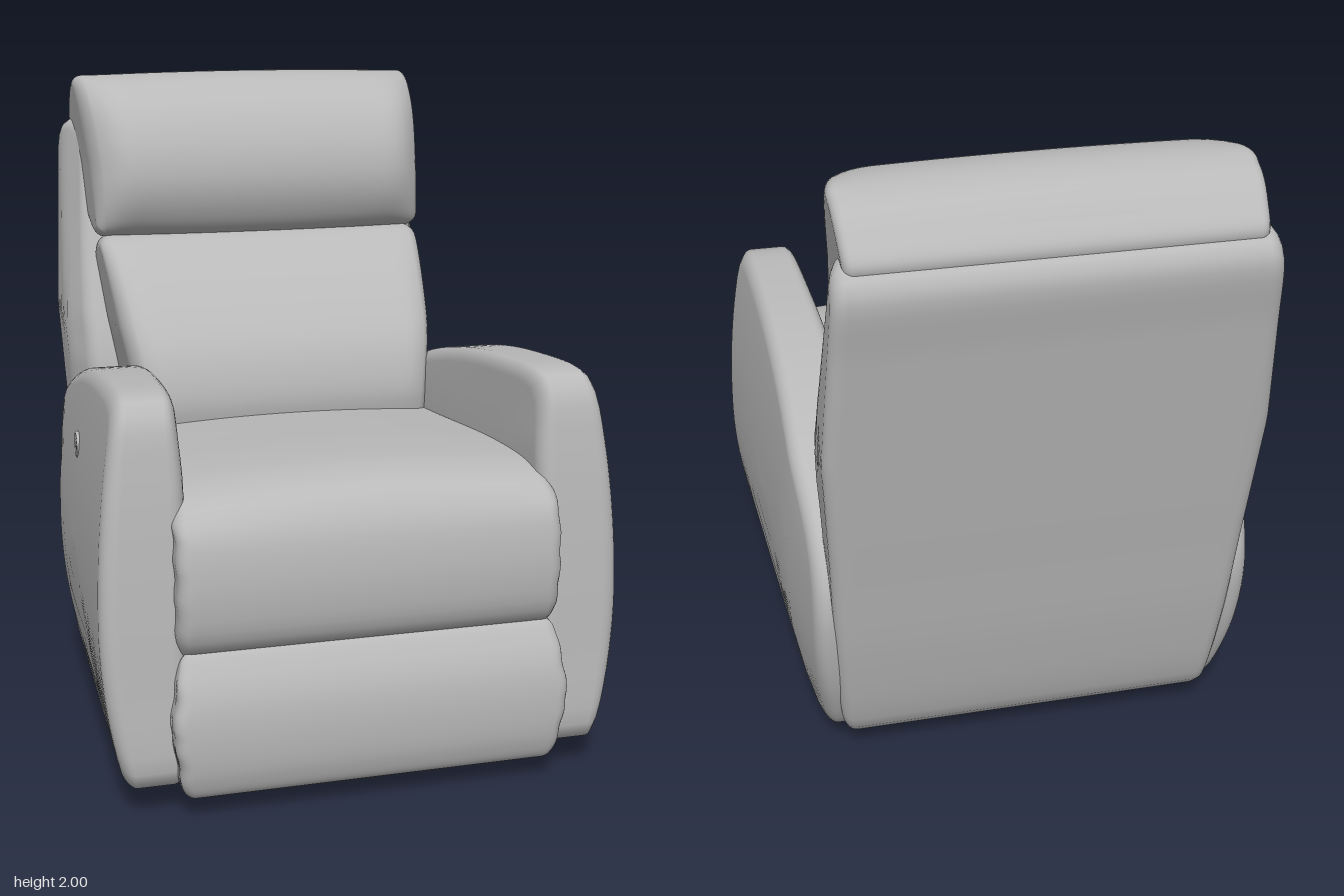
import * as THREE from 'three';

const upholstery = new THREE.MeshStandardMaterial({ color: 0xb9b9b9 });
upholstery.name = 'grey upholstery';

const lerp = THREE.MathUtils.lerp;
const clamp = THREE.MathUtils.clamp;
const smooth = THREE.MathUtils.smoothstep;

// Linear lookup in a short list of [input, output] pairs
function ramp(v, pairs) {
  if (v <= pairs[0][0]) return pairs[0][1];
  for (let i = 1; i < pairs.length; i++) {
    const [a, p] = pairs[i - 1], [b, q] = pairs[i];
    if (v <= b) return lerp(p, q, (v - a) / (b - a));
  }
  return pairs[pairs.length - 1][1];
}

// Draws the bulge in front of the plane z = seam back towards it at the ends
function taperToSeam(v, seam, from, to, left) {
  const t = clamp((Math.abs(v.x) - from) / (to - from), 0, 1);
  if (v.z > seam) v.z = seam + (v.z - seam) * lerp(left, 1, Math.sqrt(1 - t * t));
}

// Cushion body: a closed side outline of [z, y] points swept across x, with
// rounded ends. lean is the tilt (dz/dy) the end insets follow.
function cushion(name, outline, { w, r, dome = 0, lean = 0, warp }) {
  const curve = new THREE.CatmullRomCurve3(
    outline.map(([z, y]) => new THREE.Vector3(z - lean * y, y, 0)), true, 'centripetal');
  const pts = curve.getSpacedPoints(96).slice(0, 96);
  const box = new THREE.Box3().setFromPoints(pts);
  const c = box.getCenter(new THREE.Vector3());
  const half = box.getSize(new THREE.Vector3()).multiplyScalar(0.5);

  // rings of the right end: [x, inset, scale]
  const end = [];
  for (let i = 0; i <= 6; i++) {
    const a = (i / 6) * Math.PI / 2;
    end.push([w - r + r * Math.sin(a), r * (1 - Math.cos(a)), 1]);
  }
  for (const s of [0.85, 0.65, 0.45, 0.25, 0.0005]) end.push([w + dome * (1 - s * s), r, s]);
  const middle = [];
  for (let i = 1; i < 40; i++) middle.push([lerp(-(w - r), w - r, i / 40), 0, 1]);
  const rings = [...end.map(([x, d, s]) => [-x, d, s]).reverse(), ...middle, ...end];

  const pos = [], idx = [], n = pts.length;
  for (const [x, d, s] of rings) {
    for (const p of pts) {
      const u = c.x + (p.x - c.x) * (1 - d / half.x) * s;
      const y = c.y + (p.y - c.y) * (1 - d / half.y) * s;
      const v = new THREE.Vector3(x, y, u + lean * y);
      warp(v);
      pos.push(v.x, v.y, v.z);
    }
  }
  for (let i = 0; i < rings.length - 1; i++) {
    for (let j = 0; j < n; j++) {
      const k = (j + 1) % n;
      const a = i * n + j, b = i * n + k;
      idx.push(a, a + n, b, b, a + n, b + n);
    }
  }
  const geo = new THREE.BufferGeometry();
  geo.setAttribute('position', new THREE.Float32BufferAttribute(pos, 3));
  geo.setIndex(idx);
  geo.computeVertexNormals();
  return part(name, geo);
}

function part(name, geo, x = 0, y = 0, z = 0) {
  const mesh = new THREE.Mesh(geo, upholstery);
  mesh.name = name;
  mesh.position.set(x, y, z);
  return mesh;
}

function rod(name, points, radius) {
  const path = new THREE.CatmullRomCurve3(points.map((p) => new THREE.Vector3(...p)), false, 'centripetal');
  return part(name, new THREE.TubeGeometry(path, 24, radius, 10));
}

// Outer and inner faces of an armrest, both drawing inwards to the rear
const armOuter = (y, z) => 0.778 - (y > 0.55 ? 0.15 : 0.3) * (y - 0.55) ** 2
  - 0.05 * Math.max(0, 0.8 - z) - 0.03 * smooth(-z, 0.3, 0.65);
const armInner = (y, z) => ramp(z, [[-0.1, 0.47], [0.75, 0.525]])
  + 0.012 * smooth(y, 0.95, 1.15) + 0.03 * (1 - smooth(y, 0, 0.25));

function arm(side) {
  const outline = [
    [0.83, 0.095], [0.843, 0.13], [0.835, 0.4], [0.815, 0.75], [0.79, 1.0], [0.765, 1.14], [0.735, 1.185],
    [0.67, 1.203], [0.5, 1.2], [0.2, 1.17], [-0.1, 1.105], [-0.35, 1.01], [-0.53, 0.89],
    [-0.635, 0.76], [-0.667, 0.63], [-0.645, 0.43], [-0.58, 0.22], [-0.5, 0.08],
    [-0.4, 0.035], [-0.1, 0.012], [0.2, 0.03], [0.5, 0.06]];
  const w = 0.13;
  return cushion(side > 0 ? 'leftArm' : 'rightArm', outline, {
    w, r: 0.05,
    warp: (v) => {
      const t = (side * v.x + w) / (2 * w);
      v.x = side * lerp(armInner(v.y, v.z), armOuter(v.y, v.z), t);
    },
  });
}

export function createModel() {
  const chair = new THREE.Group();
  chair.name = 'recliner';

  chair.add(arm(1), arm(-1));

  // Outer back panel, tilted backwards, narrower below the arms and at its front edge
  chair.add(cushion('backShell', [
    [-0.48, 0.09], [-0.47, 0.4], [-0.42, 0.8], [-0.42, 1.05], [-0.56, 1.43], [-0.68, 1.76],
    [-0.72, 1.82], [-0.8, 1.84], [-0.885, 1.815], [-0.917, 1.77], [-0.88, 1.55], [-0.8, 1.12],
    [-0.73, 0.75], [-0.67, 0.44], [-0.6, 0.17], [-0.565, 0.095], [-0.52, 0.075]], {
    w: 0.625, r: 0.045, lean: -0.24,
    warp: (v) => {
      const front = ramp(v.y, [[0.8, -0.42], [1.05, -0.42], [1.8, -0.7]]);
      v.x *= ramp(v.y, [[0.08, 0.95], [0.45, 0.985], [0.8, 1.005], [1.2, 1.035], [1.84, 0.975]])
        * (1 - 0.08 * smooth(v.z - front, -0.17, 0.02));
    },
  }));

  // Lumbar cushion
  chair.add(cushion('backCushion', [
    [-0.08, 0.85], [-0.035, 0.95], [-0.045, 1.06], [-0.09, 1.17], [-0.22, 1.33], [-0.34, 1.435],
    [-0.42, 1.475], [-0.52, 1.465], [-0.6, 1.4], [-0.55, 1.2], [-0.46, 0.95], [-0.35, 0.83]], {
    w: 0.54, r: 0.04, lean: -0.5,
    warp: (v) => {
      taperToSeam(v, -0.42 - 0.6 * (v.y - 1.44), 0.44, 0.54, 0.4);
      v.x *= ramp(v.y, [[0.85, 0.88], [1.0, 0.91], [1.2, 0.97], [1.45, 1.02]]);
    },
  }));

  // Head pillow, its front drawn back towards the end seams
  chair.add(cushion('headPillow', [
    [-0.42, 1.48], [-0.365, 1.56], [-0.342, 1.67], [-0.365, 1.79], [-0.43, 1.9], [-0.53, 1.975],
    [-0.645, 2.0], [-0.76, 1.975], [-0.84, 1.905], [-0.885, 1.82], [-0.82, 1.73],
    [-0.7, 1.62], [-0.6, 1.5], [-0.5, 1.46]], {
    w: 0.575, r: 0.03, lean: -0.5,
    warp: (v) => {
      taperToSeam(v, -0.42 - 0.61 * (v.y - 1.48), 0.43, 0.575, 0.3);
      v.x *= ramp(v.y, [[1.47, 0.97], [1.7, 0.985], [1.97, 1.025]]);
      v.y -= 0.03 * v.x * v.x * smooth(v.y, 1.8, 2) - 0.04 * v.x * v.x * (1 - smooth(v.y, 1.46, 1.6));
    },
  }));

  // Seat cushion rolling over the front edge
  chair.add(cushion('seatCushion', [
    [0.83, 0.475], [0.875, 0.53], [0.893, 0.62], [0.893, 0.73], [0.87, 0.84], [0.81, 0.92], [0.7, 0.957],
    [0.5, 0.965], [0.2, 0.95], [-0.1, 0.93], [-0.4, 0.91], [-0.44, 0.8], [-0.4, 0.6],
    [-0.1, 0.5], [0.5, 0.475]], {
    w: 0.568, r: 0.04,
    warp: (v) => {
      v.x *= 1 + 0.005 * Math.sin(v.y * 60) - 0.12 * smooth(-v.z, -0.75, 0.1);
      v.y -= 0.09 * v.x * v.x * smooth(v.y, 0.8, 0.95);
    },
  }));

  // Folded footrest
  chair.add(cushion('footrest', [
    [0.835, 0.062], [0.88, 0.068], [0.91, 0.13], [0.923, 0.25], [0.912, 0.36], [0.88, 0.44],
    [0.84, 0.49], [0.8, 0.46], [0.79, 0.27], [0.8, 0.09]], {
    w: 0.585, r: 0.035,
    warp: (v) => {
      v.x *= ramp(v.y, [[0.06, 0.955], [0.28, 1.01], [0.48, 0.96]]) + 0.004 * Math.sin(v.y * 65);
    },
  }));

  // Control on the outside of one arm
  const control = new THREE.Group();
  control.name = 'armControl';
  control.add(part('controlRing', new THREE.TorusGeometry(0.036, 0.006, 10, 32)));
  for (const s of [-1, 1]) {
    const button = part('controlButton', new THREE.CylinderGeometry(0.012, 0.012, 0.012, 20), s * 0.016);
    button.rotation.x = Math.PI / 2;
    control.add(button);
  }
  control.position.set(-armOuter(0.92, 0.12), 0.92, 0.12);
  control.rotation.y = -Math.PI / 2 - 0.05;
  chair.add(control);

  // Underside mechanism
  const base = new THREE.Group();
  base.name = 'mechanism';
  base.add(part('basePanel', new THREE.BoxGeometry(0.6, 0.02, 0.64), 0, 0.14, 0.2));
  for (const s of [-1, 1]) {
    const x = s * 0.315;
    base.add(rod('legRail', [[x, 0.02, 0.61], [x, 0.08, 0.55], [x, 0.11, 0.4],
      [x, 0.11, -0.1], [x, 0.08, -0.2], [x, 0.02, -0.25]], 0.018));
    for (const z of [0.61, -0.255]) {
      base.add(part('foot', new THREE.CylinderGeometry(0.02, 0.03, 0.02, 20), x, 0.01, z));
    }
    base.add(part('sideRail', new THREE.BoxGeometry(0.03, 0.05, 1.1), s * 0.42, 0.2, 0.2));
    base.add(rod('liftLink', [[s * 0.42, 0.2, -0.25], [s * 0.42, 0.34, -0.15], [s * 0.42, 0.48, -0.1]], 0.014));
  }
  for (const z of [-0.12, 0.56]) {
    base.add(part('crossBar', new THREE.BoxGeometry(0.86, 0.03, 0.03), 0, 0.14, z));
  }
  chair.add(base);

  return chair;
}
